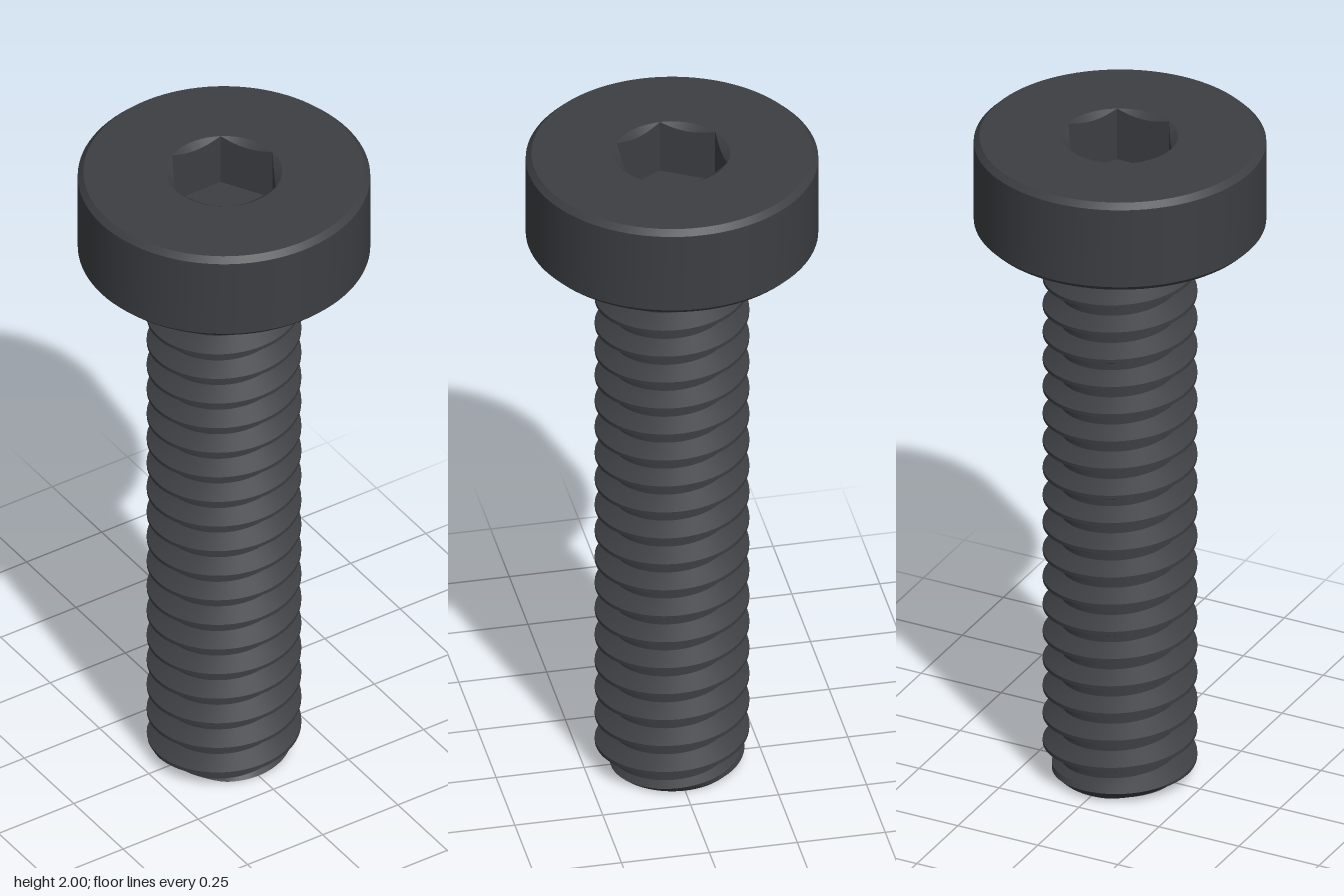
import * as THREE from 'three';
import { toCreasedNormals } from 'three/addons/utils/BufferGeometryUtils.js';

const COLS = 96;
const NECK_Y = 1.725, TOP_Y = 2;
const PITCH = 0.0859, CREST = 0.215, ROOT = 0.165, PHASE = 0.002;
const FLAT = 0.14, SOCKET_R = FLAT / Math.cos(Math.PI / 6), SOCKET_DEPTH = 0.16;
const clamp = THREE.MathUtils.clamp;

// Skin a surface through rows; each row maps an angle to [radius, y].
function skin(rows) {
  const pos = [], index = [], n = COLS + 1;
  for (const row of rows) {
    for (let c = 0; c <= COLS; c++) {
      const a = (c / COLS) * Math.PI * 2;
      const [r, y] = row(a);
      pos.push(r * Math.cos(a), y, -r * Math.sin(a));
    }
  }
  const point = (i) => new THREE.Vector3().fromArray(pos, i * 3);
  const addTri = (i, j, k) => {
    const area = point(j).sub(point(i)).cross(point(k).sub(point(i))).length();
    if (area > 1e-9) index.push(i, j, k);
  };
  for (let i = 0; i < rows.length - 1; i++) {
    for (let c = 0; c < COLS; c++) {
      const p = i * n + c;
      addTri(p, p + 1, p + n + 1);
      addTri(p, p + n + 1, p + n);
    }
  }
  const geo = new THREE.BufferGeometry();
  geo.setAttribute('position', new THREE.Float32BufferAttribute(pos, 3));
  geo.setIndex(index);
  return toCreasedNormals(geo, 0.5);
}

// Radius of the hexagon at an angle, corners on the x axis.
function hexRadius(a) {
  const step = Math.PI / 3;
  return FLAT / Math.cos((a % step) - step / 2);
}

// Neck flare under the head that fills the last grooves.
function neckRadius(y) {
  const pts = [[1.645, ROOT], [1.68, 0.193], [1.7, 0.203], [1.714, 0.213], [NECK_Y, 0.232]];
  if (y <= pts[0][0]) return ROOT;
  for (let i = 1; i < pts.length; i++) {
    const [y0, r0] = pts[i - 1], [y1, r1] = pts[i];
    if (y <= y1) return THREE.MathUtils.lerp(r0, r1, (y - y0) / (y1 - y0));
  }
  return pts[pts.length - 1][1];
}

// Right-hand thread with flat crests and roots, chamfered at the tip.
function shankRadius(y, a) {
  const t = (y - PHASE) / PITCH - a / (Math.PI * 2);
  const d = Math.abs(t - Math.round(t));
  const thread = THREE.MathUtils.lerp(CREST, ROOT, clamp((d - 0.0625) / 0.3125, 0, 1));
  return Math.min(Math.max(thread, neckRadius(y)), 0.175 + y);
}

function shankRows() {
  const fractions = [0, 0.0625, 0.22, 0.375, 0.5, 0.625, 0.78, 0.9375];
  const rows = [];
  for (let turn = -2; turn <= 21; turn++) {
    for (const f of fractions) {
      rows.push((a) => {
        const y = clamp(PHASE + PITCH * (turn + f + a / (Math.PI * 2)), 0, NECK_Y);
        return [shankRadius(y, a), y];
      });
    }
  }
  return rows;
}

export function createModel() {
  const group = new THREE.Group();
  const material = new THREE.MeshStandardMaterial({ color: 0x3c3e42 });
  const add = (name, geometry) => {
    const mesh = new THREE.Mesh(geometry, material);
    mesh.name = name;
    group.add(mesh);
  };

  // Chamfered cylindrical head
  const profile = [[0.16, NECK_Y], [0.391, NECK_Y], [0.407, NECK_Y + 0.016],
    [0.407, TOP_Y - 0.016], [0.391, TOP_Y], [SOCKET_R, TOP_Y]];
  add('head', skin(profile.map((p) => () => p)));

  // Hex socket: conical lead-in, six walls and floor
  add('hexSocket', skin([
    () => [SOCKET_R, TOP_Y],
    (a) => [hexRadius(a), TOP_Y - (SOCKET_R - hexRadius(a)) * 0.7],
    (a) => [hexRadius(a), TOP_Y - SOCKET_DEPTH],
    () => [0, TOP_Y - SOCKET_DEPTH],
  ]));

  // Threaded shank with the neck flare
  add('threadedShank', skin(shankRows()));

  // Flat tip closing the shank
  add('tip', skin([() => [0, 0], (a) => [shankRadius(0, a), 0]]));

  return group;
}
